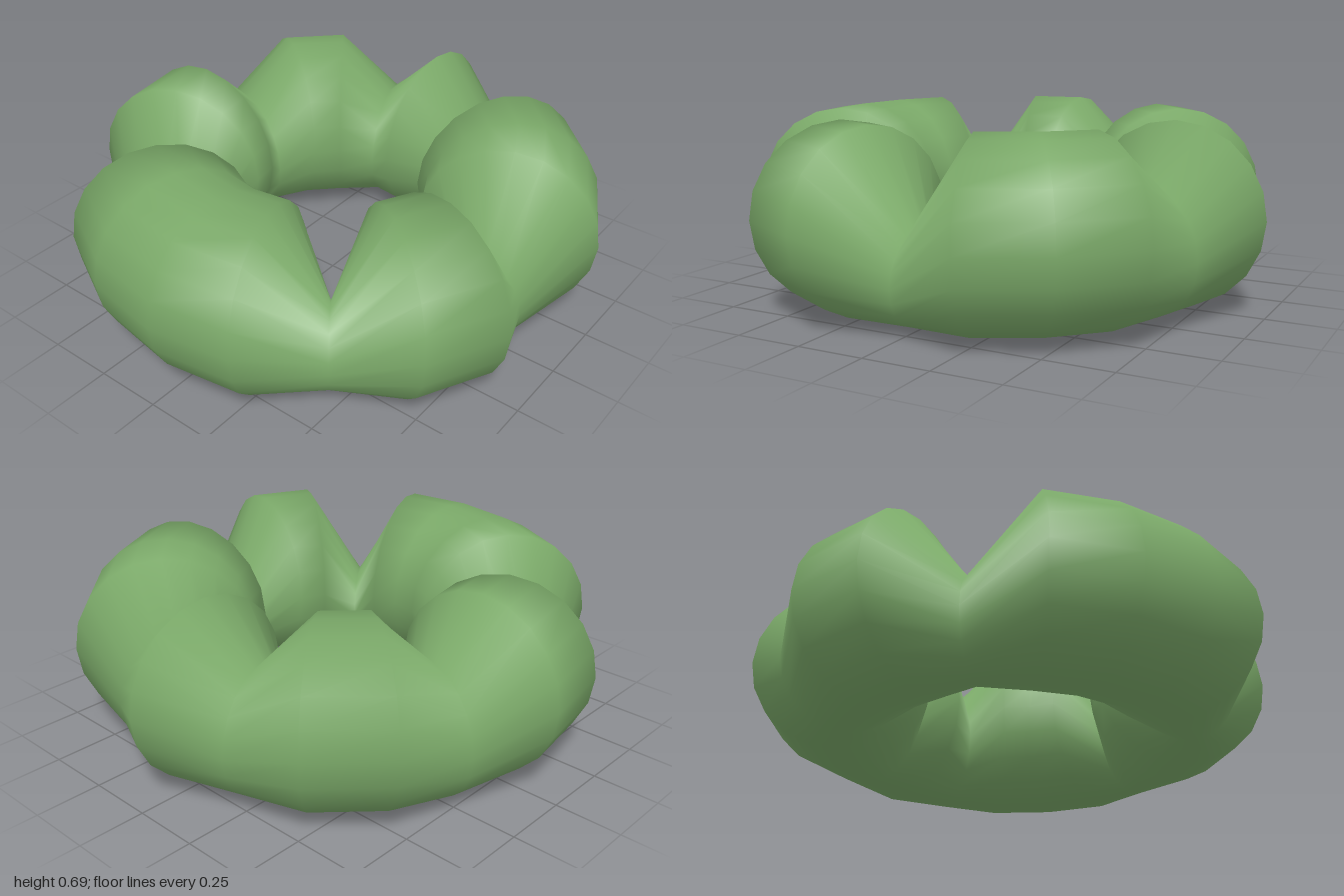
import * as THREE from 'three';
import { mergeVertices } from 'three/addons/utils/BufferGeometryUtils.js';

const SEGMENTS = 20;
const RING = 0.664, TUBE = 0.335, CENTRE_Y = 0.35, OFFSET_Z = 0.02;

// Pinched stations around the ring: index -> [tube radius, bottom height]
const pinches = new Map([
  [1, [0.228, 0.02]],
  [5, [0.16, 0.02]],
  [8, [0.154, 0.02]],
  [13, [0.182, 0.02]],
  [16, [0.242, 0.0]],
  [19, [0.228, 0.02]],
]);

export function createModel() {
  const group = new THREE.Group();
  group.name = 'lobedRing';

  // Torus lying flat, each section shrunk towards its bottom where pinched
  let geo = new THREE.TorusGeometry(RING, TUBE, SEGMENTS, SEGMENTS);
  geo.rotateX(Math.PI / 2);
  const pos = geo.attributes.position;
  for (let k = 0; k < pos.count; k++) {
    const x = pos.getX(k), y = pos.getY(k), z = pos.getZ(k);
    const angle = Math.atan2(z, x);
    const station = (Math.round((angle / (2 * Math.PI)) * SEGMENTS) + SEGMENTS) % SEGMENTS;
    const pinch = pinches.get(station);
    const scale = pinch ? pinch[0] / TUBE : 1;
    const centreY = pinch ? pinch[0] + pinch[1] : CENTRE_Y;
    const r = RING + (Math.hypot(x, z) - RING) * scale;
    pos.setXYZ(k, r * Math.cos(angle), centreY + y * scale, r * Math.sin(angle) + OFFSET_Z);
  }

  // Weld the seams so the shading is smooth all round
  geo.deleteAttribute('uv');
  geo.deleteAttribute('normal');
  geo = mergeVertices(geo, 1e-4);
  geo.computeVertexNormals();

  const ring = new THREE.Mesh(geo, new THREE.MeshStandardMaterial({ color: 0x7aa868 }));
  ring.name = 'ring';
  group.add(ring);
  return group;
}
